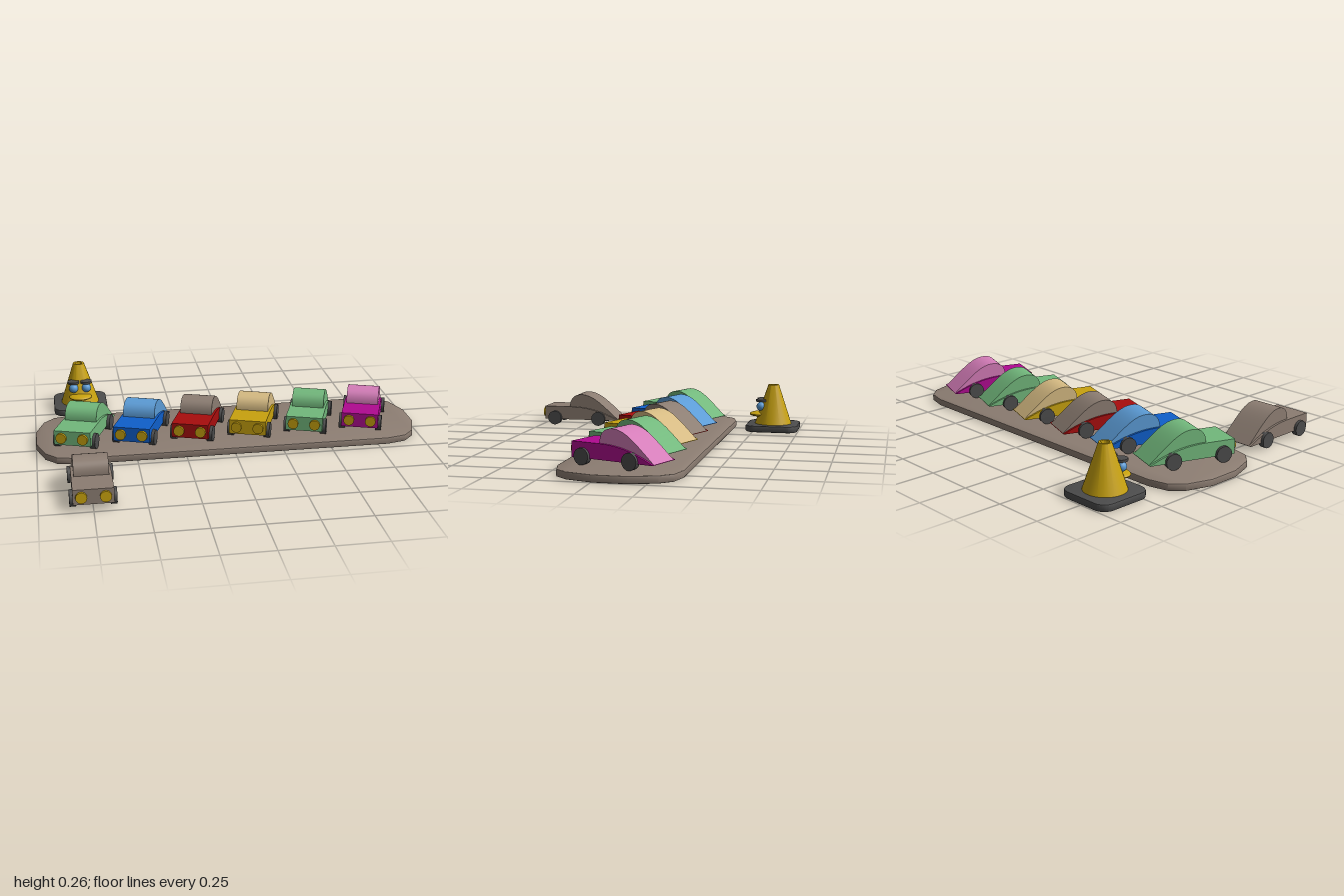
import * as THREE from 'three';
import { toCreasedNormals } from 'three/addons/utils/BufferGeometryUtils.js';

const COLORS = {
  taupe: 0x8c7d72, green: 0x72b87c, blue: 0x0f5fcb, lightBlue: 0x5b9bd5, red: 0xa80d0d,
  yellow: 0xc8a20e, tan: 0xd5ba82, magenta: 0xb00a90, pink: 0xd47cb8, darkGrey: 0x4c4c4c,
};

function makeMaterials() {
  const m = {};
  for (const [name, color] of Object.entries(COLORS)) {
    m[name] = new THREE.MeshStandardMaterial({ color });
    m[name].name = name;
  }
  return m;
}

function add(parent, name, geometry, material, x = 0, y = 0, z = 0) {
  const mesh = new THREE.Mesh(geometry, material);
  mesh.name = name;
  mesh.position.set(x, y, z);
  parent.add(mesh);
  return mesh;
}

// Side profile drawn in (z, y), extruded across the width
function profileSolid(shape, width) {
  const geo = new THREE.ExtrudeGeometry(shape, { depth: width, bevelEnabled: false, curveSegments: 12 });
  geo.translate(0, 0, -width / 2).rotateY(-Math.PI / 2);
  return toCreasedNormals(geo, 0.5);
}

// Plan outline extruded upward with a small edge bevel, from y = 0 to height
function slab(shape, height, segments) {
  const b = 0.006;
  const geo = new THREE.ExtrudeGeometry(shape, {
    depth: height - 2 * b, bevelSize: b, bevelThickness: b, bevelOffset: -b,
    bevelSegments: 2, curveSegments: segments,
  });
  geo.translate(0, 0, b).rotateX(-Math.PI / 2);
  return toCreasedNormals(geo, 0.45);
}

function makeCarParts() {
  const body = new THREE.Shape();
  body.moveTo(0.222, 0.032);
  body.lineTo(0.222, 0.107);
  body.lineTo(0.073, 0.107);
  body.bezierCurveTo(-0.03, 0.107, -0.11, 0.088, -0.22, 0.034);
  body.lineTo(-0.22, 0.032);

  const cabin = new THREE.Shape();
  cabin.moveTo(0.073, 0.06);
  cabin.lineTo(0.073, 0.107);
  cabin.bezierCurveTo(0.073, 0.155, 0.045, 0.179, 0.002, 0.179);
  cabin.bezierCurveTo(-0.063, 0.179, -0.113, 0.13, -0.219, 0.035);
  cabin.lineTo(-0.15, 0.035);

  return {
    body: profileSolid(body, 0.19),
    cabin: profileSolid(cabin, 0.166),
    wheel: new THREE.CylinderGeometry(0.04, 0.04, 0.03, 28).rotateZ(Math.PI / 2),
    lamp: new THREE.CylinderGeometry(0.027, 0.027, 0.03, 24).rotateX(Math.PI / 2),
  };
}

function makeCar(parts, name, bodyMat, cabinMat, mats) {
  const car = new THREE.Group();
  car.name = name;
  add(car, 'body', parts.body, bodyMat);
  add(car, 'cabin', parts.cabin, cabinMat);
  for (const s of [-1, 1]) {
    add(car, 'headlight', parts.lamp, mats.yellow, s * 0.056, 0.07, 0.22);
    add(car, 'frontWheel', parts.wheel, mats.darkGrey, s * 0.095, 0.041, 0.16);
    add(car, 'rearWheel', parts.wheel, mats.darkGrey, s * 0.095, 0.041, -0.103);
  }
  return car;
}

function makeCone(mats) {
  const cone = new THREE.Group();
  cone.name = 'trafficCone';

  // Rounded square foot
  const h = 0.146, r = 0.06;
  const foot = new THREE.Shape();
  foot.moveTo(h, -h + r);
  [[1, 1], [-1, 1], [-1, -1], [1, -1]].forEach(([sx, sy], i) => {
    const start = i * Math.PI / 2;
    foot.absarc(sx * (h - r), sy * (h - r), r, start, start + Math.PI / 2, false);
  });
  add(cone, 'foot', slab(foot, 0.036, 8), mats.darkGrey);

  // Tapered shell with an open top
  const profile = [[0.104, 0.034], [0.03, 0.258], [0.02, 0.258], [0.02, 0.2], [0, 0.2]]
    .map(([x, y]) => new THREE.Vector2(x, y));
  add(cone, 'shell', toCreasedNormals(new THREE.LatheGeometry(profile, 40), 0.5), mats.yellow);

  // Face: eyes, brows and lips
  const ball = new THREE.SphereGeometry(1, 24, 16);
  const disc = new THREE.CylinderGeometry(0.031, 0.031, 0.012, 24);
  for (const s of [-1, 1]) {
    add(cone, 'eye', ball, mats.lightBlue, s * 0.035, 0.134, 0.067).scale.setScalar(0.025);
    add(cone, 'brow', disc, mats.darkGrey, s * 0.035, 0.169, 0.066);
  }
  const lips = add(cone, 'lips', ball, mats.yellow, 0, 0.088, 0.082);
  lips.scale.set(0.062, 0.015, 0.053);
  return cone;
}

export function createModel() {
  const model = new THREE.Group();
  model.name = 'carLineup';
  const mats = makeMaterials();

  // Display platform with rounded corners
  const corner = [[1, 0.08], [0.957, 0.212], [0.9, 0.272], [0.8, 0.297]];
  const flipped = [...corner].reverse();
  const outline = [
    ...corner, ...flipped.map(([x, y]) => [-x, y]),
    ...corner.map(([x, y]) => [-x, -y]), ...flipped.map(([x, y]) => [x, -y]),
  ].map(([x, y]) => new THREE.Vector2(x, y));
  add(model, 'platform', slab(new THREE.Shape(outline), 0.036, 1), mats.taupe, 0, 0, -0.085);

  // Row of angled cars: body and cabin colours
  const parts = makeCarParts();
  const row = [
    ['green', 'green'], ['blue', 'lightBlue'], ['red', 'taupe'],
    ['yellow', 'tan'], ['green', 'green'], ['magenta', 'pink'],
  ];
  row.forEach(([body, cabin], i) => {
    const car = makeCar(parts, body + 'Car', mats[body], mats[cabin], mats);
    car.position.set(-0.743 + i * 0.2975, 0.036, -0.085);
    car.rotation.y = -THREE.MathUtils.degToRad(20);
    model.add(car);
  });

  // Lone car in front
  const lone = makeCar(parts, 'frontCar', mats.taupe, mats.taupe, mats);
  lone.position.set(-0.748, 0, 0.513);
  model.add(lone);

  // Traffic cone behind
  const cone = makeCone(mats);
  cone.position.set(-0.748, 0, -0.602);
  model.add(cone);

  return model;
}
